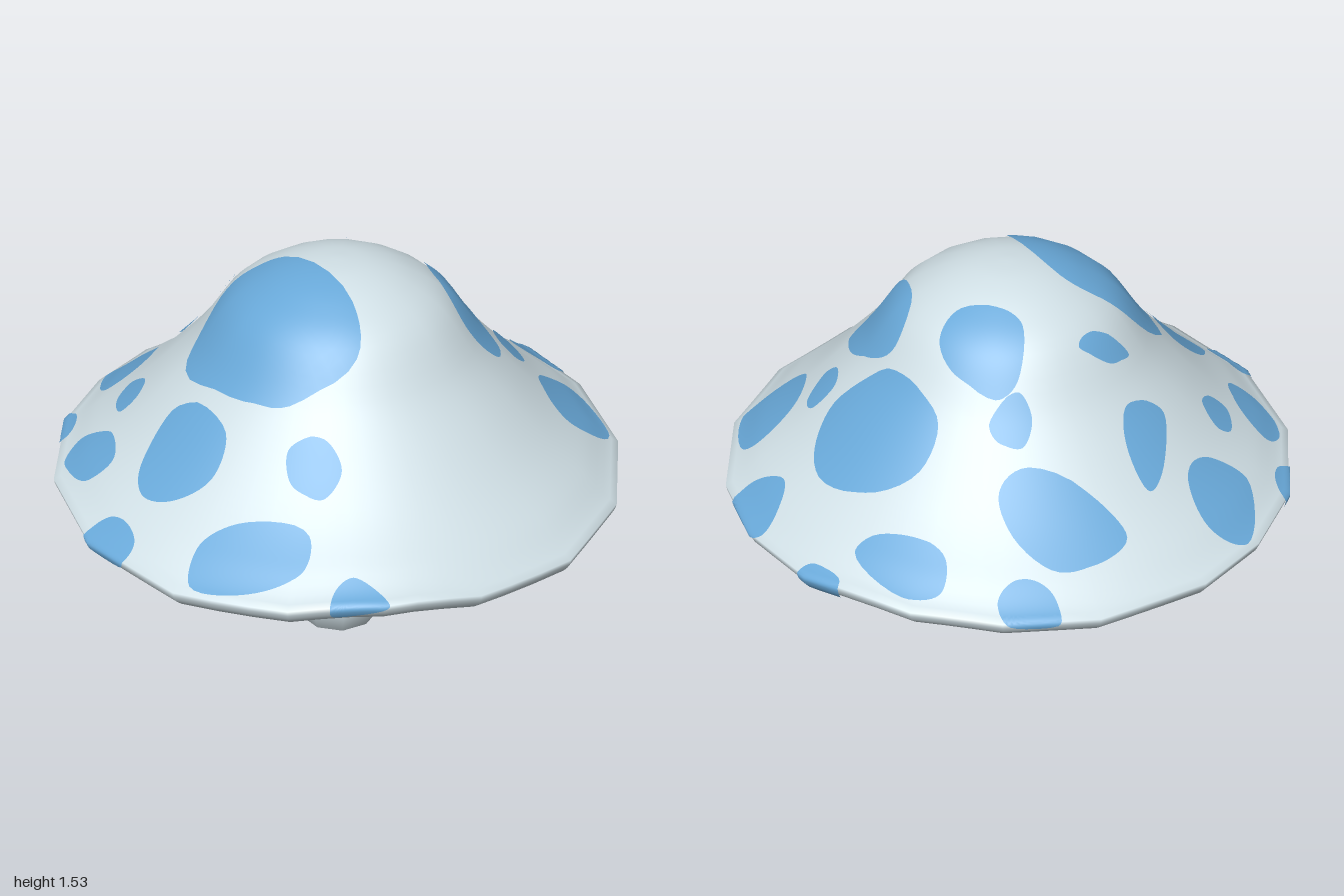
import * as THREE from 'three';

const DEG = Math.PI / 180;
// Angles of the cap's uneven rim corners, measured from +x towards +z
const corners = [0, 17.5, 40, 62, 84, 106, 124, 141, 163, 186, 209, 231, 248, 264, 286, 303.5, 320, 342.5, 360];
// Cap height at even steps from apex to rim
const heights = new THREE.SplineCurve(
  [1.533, 1.52, 1.475, 1.39, 1.225, 1.095, 0.98, 0.885, 0.8].map((y, i) => new THREE.Vector2(i / 8, y)));

// Radius of the polygonal rim at an angle
function rimRadius(th) {
  const d = ((th / DEG) % 360 + 360) % 360;
  let i = 0;
  while (i < corners.length - 2 && corners[i + 1] <= d) i++;
  const a = corners[i], b = corners[i + 1];
  return Math.cos((b - a) / 2 * DEG) / Math.cos((d - (a + b) / 2) * DEG);
}

// Rise and fall of the rim around the cap
function wave(th) {
  const bump = (centre, width, h) => {
    const d = ((th / DEG - centre) % 360 + 540) % 360 - 180;
    return h * Math.exp(-((d / width) ** 2));
  };
  return bump(62, 40, -0.025) + bump(124, 22, 0.055) + bump(320, 30, 0.03);
}

// Outer cap: u = 0 apex, 1 rim, above 1 runs down over the lip
const radius = (u) => (u <= 1 ? u : 1 - 4 * (u - 1) ** 2);
const height = (u, th) =>
  (u <= 1 ? heights.getPoint(Math.max(u, 0)).y : 0.8 - 0.7 * (u - 1)) + Math.min(1, u ** 4) * wave(th);

function capPoint(u, th, lift = 0) {
  const e = 0.02, r = radius(u) * rimRadius(th), c = Math.cos(th), s = Math.sin(th);
  const ru = (radius(u + e) - radius(Math.max(u - e, 0))) / (2 * e);
  const yu = u < e ? 0 : (height(u + e, th) - height(u - e, th)) / (2 * e);
  const yt = (height(u, th + e) - height(u, th - e)) / (2 * e);
  const t = -ru * yt / Math.max(radius(u), 0.1);
  const n = new THREE.Vector3(-yu * c - t * s, ru, -yu * s + t * c).normalize();
  return { p: new THREE.Vector3(r * c, height(u, th), r * s).addScaledVector(n, lift), n };
}

// Closed ring-by-ring surface; fn(row, column) gives position p and optional normal n
function ringSurface(rows, cols, fn) {
  const pos = [], nor = [], index = [];
  for (let i = 0; i <= rows; i++) {
    for (let j = 0; j < cols; j++) {
      const { p, n } = fn(i, j);
      pos.push(p.x, p.y, p.z);
      if (n) nor.push(n.x, n.y, n.z);
      if (i === rows) continue;
      const k = (j + 1) % cols, a = i * cols + j, b = a + cols, c = i * cols + k, d = c + cols;
      index.push(a, c, b, c, d, b);
    }
  }
  const g = new THREE.BufferGeometry();
  g.setAttribute('position', new THREE.Float32BufferAttribute(pos, 3));
  g.setIndex(index);
  if (nor.length) g.setAttribute('normal', new THREE.Float32BufferAttribute(nor, 3));
  else g.computeVertexNormals();
  return g;
}

// A patch lying on the cap, from a rounded outline of x, z pairs seen from above
function spotGeometry(flat) {
  const ctrl = [];
  for (let i = 0; i < flat.length; i += 2) ctrl.push(new THREE.Vector3(flat[i], flat[i + 1], 0));
  const outline = new THREE.CatmullRomCurve3(ctrl, true, 'centripetal').getPoints(40).slice(0, 40);
  if (THREE.ShapeUtils.area(outline) < 0) outline.reverse();
  const mid = ctrl.reduce((m, p) => m.add(p), new THREE.Vector3()).divideScalar(ctrl.length);
  return ringSurface(10, 40, (i, j) => {
    const q = mid.clone().lerp(outline[j], i / 10);
    const th = Math.atan2(q.y, q.x);
    return capPoint(Math.min(Math.hypot(q.x, q.y) / rimRadius(th), 1.1), th, 0.006);
  });
}

export function createModel() {
  const pale = new THREE.MeshStandardMaterial({ color: 0xd0dfe5 });
  pale.name = 'paleGrey';
  const blue = new THREE.MeshStandardMaterial({ color: 0x68a8d8 });
  blue.name = 'spotBlue';

  const model = new THREE.Group();
  model.name = 'mushroom';
  const add = (name, geometry, material, parent = model) => {
    const mesh = new THREE.Mesh(geometry, material);
    mesh.name = name;
    parent.add(mesh);
  };

  // Column angles: every rim corner plus two between
  const columns = [];
  for (let i = 0; i < corners.length - 1; i++)
    for (let k = 0; k < 3; k++) columns.push((corners[i] + (corners[i + 1] - corners[i]) * k / 3) * DEG);

  // Cap top and lip
  add('cap', ringSurface(44, columns.length, (i, j) => capPoint(i / 40, columns[j])), pale);

  // Hollow underside, from the lip inwards
  const hollow = [[0.96, 0.73], [0.92, 0.725], [0.8, 0.83], [0.6, 1.0], [0.36, 1.2], [0.01, 1.27]];
  add('capUnderside', ringSurface(hollow.length - 1, columns.length, (i, j) => {
    const th = columns[j], [u, y] = hollow[i], r = u * rimRadius(th);
    return { p: new THREE.Vector3(r * Math.cos(th), y + u ** 4 * wave(th) * (i ? 1 : 1 / u ** 4), r * Math.sin(th)) };
  }), pale);

  // Stem with a bulbous foot and a flared top
  const stem = [[0, 0], [0.09, 0.02], [0.155, 0.07], [0.193, 0.18], [0.175, 0.38], [0.152, 0.57],
    [0.17, 0.75], [0.2, 0.87], [0.28, 1.02], [0.35, 1.15], [0.38, 1.26]];
  add('stem', new THREE.LatheGeometry(stem.map(([r, y]) => new THREE.Vector2(r, y)), 10), pale);

  // Spots
  const spots = new THREE.Group();
  spots.name = 'spots';
  model.add(spots);
  const spot = (...outline) => add('spot', spotGeometry(outline), blue, spots);
  // right half of the cap
  spot(-0.48, -0.22, -0.3, -0.28, -0.18, -0.24, -0.1, -0.15, -0.12, 0.2, -0.22, 0.33, -0.42, 0.24, -0.49, 0.1);
  spot(-0.48, -0.72, -0.33, -0.92, -0.22, -0.85, -0.24, -0.7, -0.36, -0.65);
  spot(-0.26, -0.53, -0.15, -0.68, -0.07, -0.72, -0.06, -0.6, -0.12, -0.51, -0.24, -0.51);
  spot(-0.21, -0.39, -0.12, -0.42, -0.02, -0.38, -0.09, -0.35);
  spot(-0.6, -0.45, -0.54, -0.55, -0.48, -0.55, -0.48, -0.46, -0.55, -0.42);
  spot(-0.84, -0.33, -0.8, -0.52, -0.71, -0.55, -0.68, -0.4, -0.76, -0.28);
  spot(-0.81, -0.05, -0.74, -0.14, -0.58, -0.16, -0.57, 0.1, -0.67, 0.15, -0.78, 0.06);
  spot(-0.91, 0.32, -0.82, 0.26, -0.7, 0.32, -0.59, 0.52, -0.67, 0.58, -0.8, 0.5);
  spot(-0.54, 0.38, -0.49, 0.31, -0.4, 0.38, -0.41, 0.47, -0.5, 0.48);
  spot(-1.01, -0.14, -0.93, -0.13, -0.89, -0.05, -0.92, 0.05, -1.01, 0.05);
  spot(-0.77, -0.68, -0.68, -0.66, -0.6, -0.74, -0.61, -0.85, -0.72, -0.8);
  spot(-0.71, 0.76, -0.64, 0.69, -0.57, 0.7, -0.55, 0.84);
  // left half of the cap
  spot(0.07, -0.8, 0.2, -0.83, 0.33, -0.79, 0.4, -0.65, 0.38, -0.54, 0.28, -0.53, 0.1, -0.7);
  spot(0.37, -0.84, 0.4, -0.92, 0.54, -0.85, 0.53, -0.77, 0.46, -0.75, 0.4, -0.78);
  spot(0.6, -0.58, 0.66, -0.65, 0.75, -0.6, 0.8, -0.36, 0.74, -0.36, 0.64, -0.47);
  spot(0.2, -0.45, 0.26, -0.49, 0.32, -0.44, 0.32, -0.39, 0.21, -0.39);
  spot(0.12, -0.27, 0.2, -0.37, 0.27, -0.37, 0.35, -0.23, 0.34, -0.13, 0.25, -0.1, 0.14, -0.2);
  spot(0.44, -0.28, 0.54, -0.33, 0.69, -0.24, 0.76, -0.05, 0.7, 0.08, 0.6, 0.13, 0.48, 0.02, 0.44, -0.15);
  spot(0.25, 0.28, 0.32, 0.08, 0.43, 0.01, 0.47, 0.12, 0.45, 0.3, 0.38, 0.39, 0.26, 0.35);
  spot(0.51, 0.28, 0.57, 0.19, 0.64, 0.22, 0.62, 0.3, 0.53, 0.33);
  spot(0.54, 0.47, 0.64, 0.36, 0.8, 0.36, 0.83, 0.42, 0.72, 0.63, 0.55, 0.58);
  spot(0.83, 0.08, 0.88, 0, 0.98, -0.04, 1.02, 0.02, 1.01, 0.19, 0.9, 0.2);
  spot(0.88, -0.4, 0.89, -0.33, 0.93, -0.27, 1.02, -0.29, 0.98, -0.43);
  return model;
}
